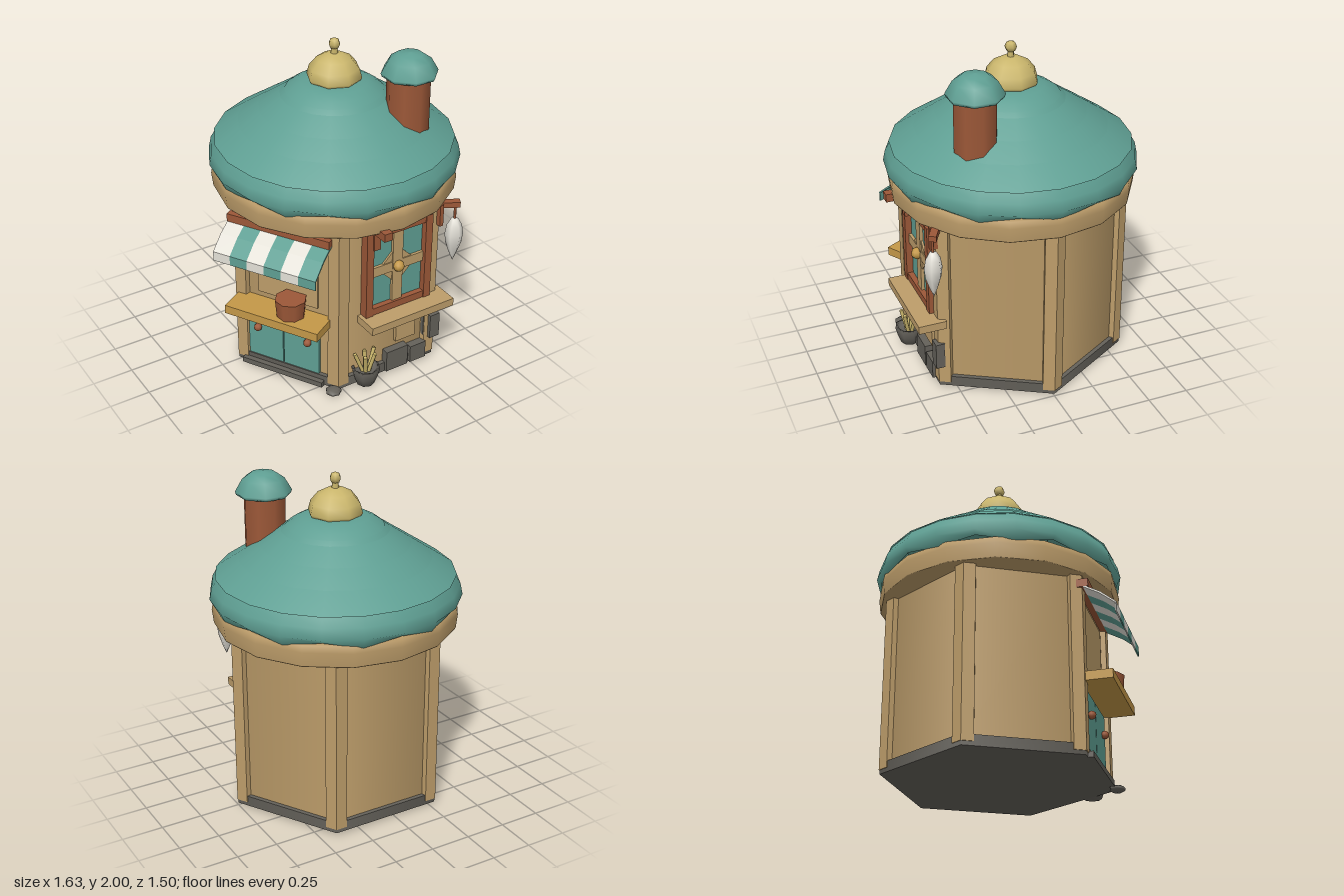
import * as THREE from 'three';

const mat = (name, color, side = THREE.FrontSide) => {
  const m = new THREE.MeshStandardMaterial({ color, side });
  m.name = name;
  return m;
};

export function createModel() {
  const teal = mat('teal', 0x5f9f93, THREE.DoubleSide);
  const tan = mat('tan wood', 0xbd9d6a);
  const brown = mat('red brown', 0x9c5838);
  const grey = mat('stone grey', 0x64615a);
  const gold = mat('pale gold', 0xcab66c);
  const honey = mat('honey wood', 0xc49848);
  const white = mat('off white', 0xe4e1d8, THREE.DoubleSide);

  const model = new THREE.Group();
  model.name = 'roundKiosk';
  // Everything structural turns about the axis x = 0.06
  const hut = new THREE.Group();
  hut.name = 'hut';
  hut.position.x = 0.06;
  model.add(hut);

  const add = (parent, name, geo, material, x = 0, y = 0, z = 0, ry = 0) => {
    const m = new THREE.Mesh(geo, material);
    m.name = name;
    m.position.set(x, y, z);
    m.rotation.y = ry;
    parent.add(m);
    return m;
  };
  // Box given by its limits
  const box = (parent, name, material, x0, x1, y0, y1, z0, z1) =>
    add(parent, name, new THREE.BoxGeometry(x1 - x0, y1 - y0, z1 - z0), material,
      (x0 + x1) / 2, (y0 + y1) / 2, (z0 + z1) / 2);
  const lathe = (pts, sides) => new THREE.LatheGeometry(pts.map(p => new THREE.Vector2(...p)), sides);

  // Hexagonal base and walls
  const hex = (r, h) => new THREE.CylinderGeometry(r, r, h, 6, 1, false, Math.PI / 6);
  add(hut, 'base', hex(0.69, 0.065), grey, 0, 0.0475, 0);
  add(hut, 'walls', hex(0.66, 1.08), tan, 0, 0.62, 0);

  // Corner posts, folded around each corner
  const post = new THREE.Shape([[0.695, 0], [0.66, 0.062], [0.62, 0.05], [0.62, -0.05], [0.66, -0.062]]
    .map(p => new THREE.Vector2(...p)));
  const postGeo = new THREE.ExtrudeGeometry(post, { depth: 1.07, bevelEnabled: false });
  postGeo.rotateX(-Math.PI / 2).translate(0, 0.04, 0);
  for (let i = 0; i < 6; i++) add(hut, 'cornerPost', postGeo, tan, 0, 0, 0, i * Math.PI / 3);

  // Ring beam under the eaves
  add(hut, 'ringBeam', lathe([[0.5, 1.1], [0.725, 1.1], [0.728, 1.105], [0.738, 1.19], [0.73, 1.23],
    [0.715, 1.238], [0, 1.238]], 16), tan);

  // Scalloped eave: every second rim vertex hangs lower
  const eave = [[0.725, 1.235], [0.752, 1.275], [0.738, 1.34], [0.70, 1.405]];
  const eaveGeo = lathe(eave, 20);
  for (let i = 0; i <= 20; i++) eaveGeo.attributes.position.setY(i * eave.length, i % 2 ? 1.215 : 1.25);
  add(hut, 'scallopedEave', eaveGeo, teal);

  // Overlapping roof tiers and cap
  [[0.715, 1.398, 0.57, 1.495], [0.583, 1.485, 0.445, 1.578], [0.458, 1.568, 0.32, 1.66], [0.332, 1.65, 0.27, 1.695]]
    .forEach(([r0, y0, r1, y1]) => add(hut, 'roofTier', lathe([[r0 - 0.012, y0 - 0.002], [r0, y0], [r1, y1]], 20), teal));
  add(hut, 'roofCap', lathe([[0.29, 1.683], [0.25, 1.712], [0.2, 1.738], [0.14, 1.75], [0, 1.755]], 20), teal);

  // Golden finial
  add(hut, 'finialDome', lathe([[0, 1.742], [0.15, 1.742], [0.165, 1.765], [0.15, 1.82], [0.105, 1.875], [0.05, 1.903], [0, 1.908]], 8), gold);
  add(hut, 'finialNeck', new THREE.CylinderGeometry(0.017, 0.022, 0.06, 6), gold, 0, 1.925, 0);
  add(hut, 'finialBall', new THREE.SphereGeometry(0.036, 6, 4), gold, 0, 1.964, 0);

  // Chimney
  add(model, 'chimneyShaft', new THREE.CylinderGeometry(0.128, 0.128, 0.4, 8), brown, 0.35, 1.65, 0.33);
  add(model, 'chimneyCap', lathe([[0, 1.825], [0.16, 1.825], [0.168, 1.845], [0.125, 1.92], [0.075, 1.955], [0, 1.965]], 8),
    teal, 0.355, 0, 0.33, Math.PI / 8);

  // Front window
  const win = new THREE.Group();
  win.name = 'window';
  win.position.set(0.115, 0.775, 0.57);
  model.add(win);
  box(win, 'glass', teal, -0.19, 0.19, -0.25, 0.25, 0, 0.02);
  for (const s of [-1, 1]) {
    add(win, 'frameSide', new THREE.BoxGeometry(0.048, 0.57, 0.06), brown, s * 0.206, 0, 0.03);
    add(win, 'frameRail', new THREE.BoxGeometry(0.44, 0.045, 0.055), brown, 0, s * 0.262, 0.027);
  }
  box(win, 'uprightBar', tan, -0.035, 0.035, -0.25, 0.25, 0.01, 0.04);
  box(win, 'crossBar', tan, -0.19, 0.19, -0.032, 0.032, 0.01, 0.038);
  const diamond = add(win, 'diamond', new THREE.BoxGeometry(0.185, 0.185, 0.02), tan, 0, 0, 0.022);
  diamond.rotation.z = Math.PI / 4;
  add(win, 'windowKnob', new THREE.SphereGeometry(0.035, 8, 6), honey, 0, 0, 0.05);
  box(model, 'windowSill', tan, -0.135, 0.45, 0.435, 0.485, 0.56, 0.73);

  // Left hook and lantern bracket
  box(model, 'hookPlate', brown, -0.075, -0.03, 0.95, 1.1, 0.57, 0.64);
  box(model, 'hookArm', brown, -0.082, -0.026, 1.07, 1.12, 0.57, 0.75);
  box(model, 'bracketPlate', brown, 0.39, 0.415, 0.96, 1.1, 0.58, 0.635);
  const arm = add(model, 'bracketArm', new THREE.BoxGeometry(0.14, 0.035, 0.045), brown, 0.455, 1.09, 0.62);
  arm.rotation.y = -0.5;
  add(model, 'lanternCord', new THREE.CylinderGeometry(0.008, 0.008, 0.1, 6), brown, 0.49, 1.03, 0.645);
  add(model, 'lantern', lathe([[0, 0.7], [0.025, 0.76], [0.048, 0.83], [0.055, 0.89], [0.045, 0.95], [0.022, 0.99], [0, 0.995]], 6),
    white, 0.49, 0, 0.645);

  // Notice, stone slabs and flat stone
  box(model, 'notice', tan, 0.13, 0.27, 0.205, 0.345, 0.56, 0.595);
  box(model, 'stoneSlab', grey, 0.05, 0.205, 0.025, 0.165, 0.56, 0.62);
  box(model, 'stoneSlab', grey, 0.225, 0.34, 0.025, 0.14, 0.56, 0.62);
  box(model, 'stonePlate', grey, 0.365, 0.435, 0.155, 0.32, 0.57, 0.625);
  box(model, 'stoneEdge', grey, 0.33, 0.345, 0.18, 0.32, 0.56, 0.6);
  add(model, 'flatStone', new THREE.SphereGeometry(0.05, 7, 5), grey, -0.32, 0.022, 0.6).scale.y = 0.44;

  // Pot of sticks
  add(model, 'pot', lathe([[0, 0.015], [0.055, 0.015], [0.075, 0.07], [0.09, 0.128], [0.072, 0.128], [0.065, 0.1], [0, 0.1]], 8),
    grey, -0.105, 0, 0.62);
  for (let i = 0; i < 5; i++) {
    const a = (i - 2) / 2;
    const s = add(model, 'stick', new THREE.CylinderGeometry(0.012, 0.012, 0.14, 6), gold,
      -0.1 + a * 0.045, 0.165, 0.62 + (i % 2 ? 0.025 : -0.015));
    s.rotation.set(i % 2 ? 0.2 : -0.1, 0, -a * 0.35);
  }

  // Serving side, built facing +z and turned to the front right wall face
  const stall = new THREE.Group();
  stall.name = 'servingSide';
  stall.rotation.y = -Math.PI / 3;
  hut.add(stall);
  box(stall, 'hatchPanel', tan, -0.2, 0.2, 0.55, 0.98, 0.56, 0.585);
  box(stall, 'counter', honey, -0.33, 0.29, 0.455, 0.51, 0.56, 0.76);
  add(stall, 'counterPot', new THREE.CylinderGeometry(0.095, 0.085, 0.115, 8), brown, 0.06, 0.567, 0.655);
  box(stall, 'awningRail', brown, -0.366, 0.303, 1.02, 1.07, 0.56, 0.64);
  for (const [x0, x1, k] of [[-0.27, -0.035, -0.2], [-0.028, 0.21, 0.14]]) {
    box(stall, 'cupboardDoor', teal, x0, x1, 0.05, 0.43, 0.56, 0.59);
    add(stall, 'doorKnob', new THREE.SphereGeometry(0.025, 8, 6), brown, k, 0.295, 0.605);
  }
  box(stall, 'doorStep', grey, -0.3, 0.25, 0.015, 0.05, 0.56, 0.63);

  // Striped awning with a hanging valance
  const profile = new THREE.Shape([[0.61, 1.03], [0.71, 0.975], [0.8, 0.9], [0.8, 0.84], [0.792, 0.84],
    [0.792, 0.895], [0.705, 0.965], [0.61, 1.018]].map(p => new THREE.Vector2(...p)));
  const w = 0.669 / 6;
  const stripe = new THREE.ExtrudeGeometry(profile, { depth: w, bevelEnabled: false });
  stripe.rotateY(-Math.PI / 2); // profile depth to +z, width to -x
  for (let i = 0; i < 6; i++) add(stall, 'awningStripe', stripe, i % 2 ? teal : white, -0.366 + (i + 1) * w);

  return model;
}
